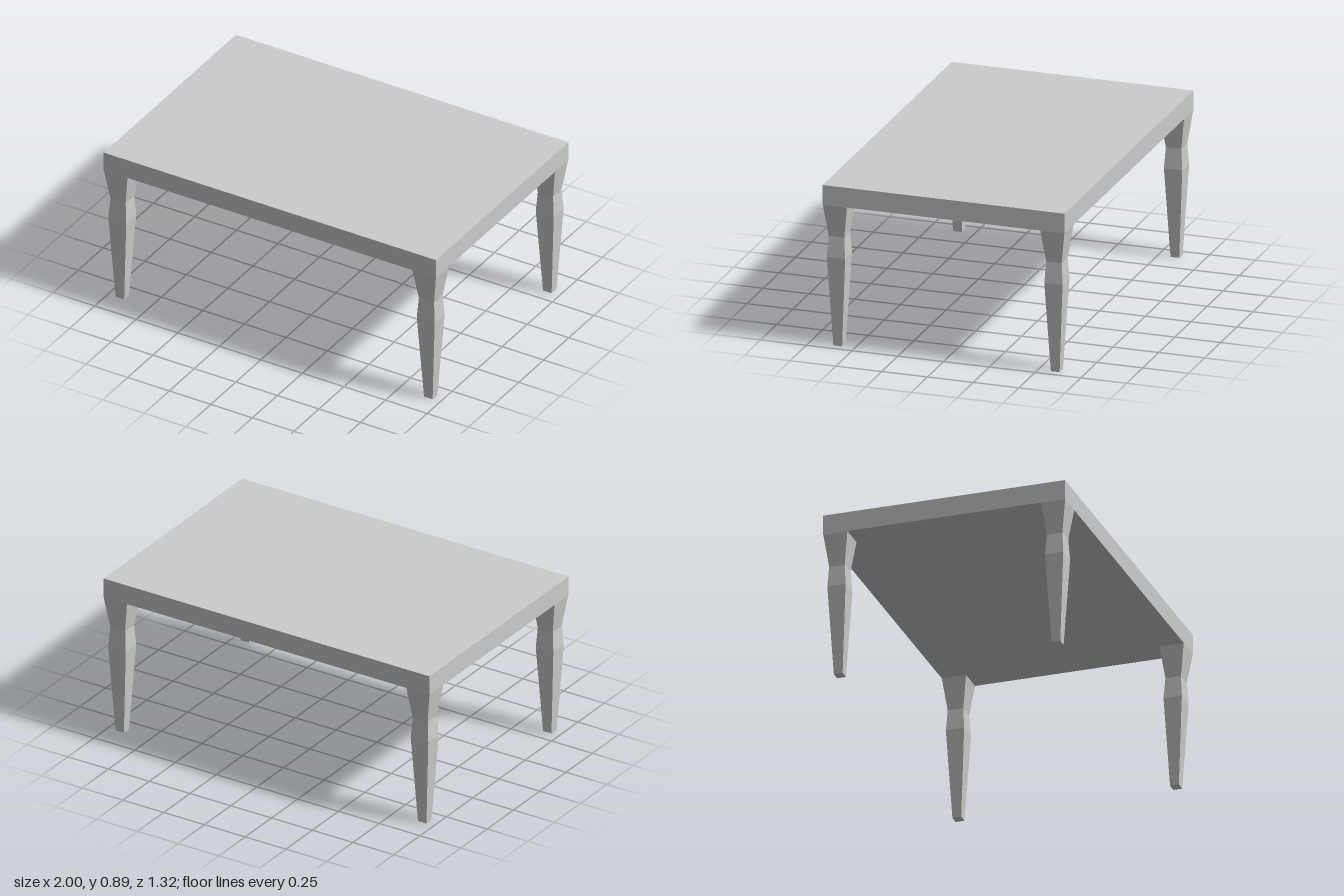
import * as THREE from 'three';

export function createModel() {
  const table = new THREE.Group();
  table.name = 'table';
  const material = new THREE.MeshStandardMaterial({ color: 0xcccccc, flatShading: true });

  // Slab top
  const top = new THREE.Mesh(new THREE.BoxGeometry(2, 0.108, 1.32), material);
  top.name = 'tableTop';
  top.position.y = 0.834;
  table.add(top);

  // Square turned leg: [half width, height] from foot to top
  const profile = [[0, 0], [0.024, 0], [0.05, 0.49], [0.0425, 0.605], [0.066, 0.78]]
    .map(([half, y]) => new THREE.Vector2(half * Math.SQRT2, y));
  const legGeometry = new THREE.LatheGeometry(profile, 4, Math.PI / 4);
  legGeometry.scale(1.08, 1, 1); // slightly wider than deep

  // One leg flush with each corner
  for (const [sx, side] of [[1, 'Left'], [-1, 'Right']]) {
    for (const [sz, end] of [[1, 'front'], [-1, 'back']]) {
      const leg = new THREE.Mesh(legGeometry, material);
      leg.name = `${end}${side}Leg`;
      leg.position.set(sx * 0.928, 0, sz * 0.594);
      table.add(leg);
    }
  }
  return table;
}
